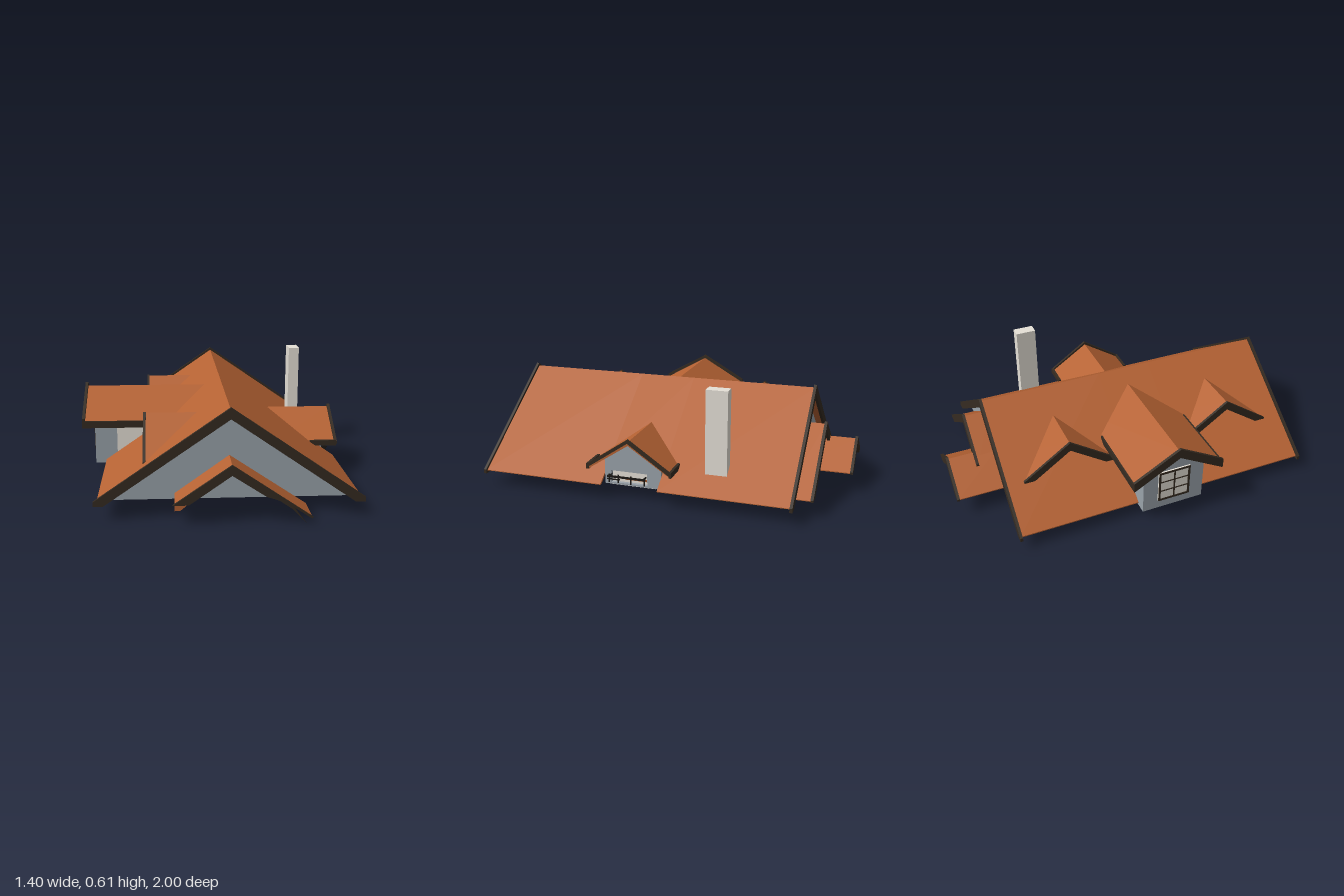
import * as THREE from 'three';

const material = (name, color) => {
  const m = new THREE.MeshStandardMaterial({ color, side: THREE.DoubleSide });
  m.name = name;
  return m;
};

export function createModel() {
  const house = new THREE.Group();
  house.name = 'roofStorey';
  const tile = material('terracotta tile', 0xb56233);
  const trim = material('dark trim', 0x352b21);
  const wall = material('blue grey wall', 0x9aa3ab);
  const cream = material('cream masonry', 0xe6e1d7);
  const iron = material('black iron', 0x1a1714);

  const box = (name, mat, [x0, x1], [y0, y1], [z0, z1], parent = house) => {
    const m = new THREE.Mesh(new THREE.BoxGeometry(x1 - x0, y1 - y0, z1 - z0), mat);
    m.position.set((x0 + x1) / 2, (y0 + y1) / 2, (z0 + z1) / 2);
    m.name = name;
    parent.add(m);
  };

  // Extrude an outline between two depths; axis 'x' reads outline as (z, y)
  const prism = (name, mat, points, from, to, axis = 'z', hole) => {
    const shape = new THREE.Shape(points.map(([u, y]) => new THREE.Vector2(u, y)));
    if (hole) shape.holes.push(new THREE.Path(hole.map(([u, y]) => new THREE.Vector2(u, y))));
    const m = new THREE.Mesh(
      new THREE.ExtrudeGeometry(shape, { depth: to - from, bevelEnabled: false }), mat);
    if (axis === 'x') {
      m.rotation.y = -Math.PI / 2;
      m.position.x = to;
    } else m.position.z = from;
    m.name = name;
    house.add(m);
  };

  // Inverted V outline with plumb eaves, trimmed level at height cut
  const chevron = (c, top, left, right, slope, t, cut = 0) => {
    const arm = (half, s) => {
      const y = top - half * slope, u = c + s * half;
      if (y - t >= cut) return [[u, y], [u, y - t]];
      return [[u, Math.max(y, cut + 0.001)], [u, cut], [u - s * (cut - y + t) / slope, cut]];
    };
    return [[c, top], ...arm(right, 1), [c, top - t], ...arm(left, -1).reverse()];
  };

  // Gable wall under a roof
  const gable = (c, top, l, r, slope, base) => [
    [l, base], [r, base], [r, top - (r - c) * slope], [c, top], [l, top - (c - l) * slope]];

  const S = 0.69;

  // Main roof in three lengths; the middle one stops short over the balcony
  for (const [z0, z1, right] of [[-0.76, -0.075, 0.635], [-0.075, 0.235, 0.47], [0.235, 0.91, 0.635]])
    prism('mainRoof', tile, chevron(0.05, 0.525, 0.632, right, S, 0.015, 0.083), z0, z1);
  for (const [n, z] of [['frontVerge', 0.903], ['backVerge', -0.768]])
    prism(n, trim, chevron(0.05, 0.54, 0.648, 0.648, S, 0.055, 0.07), z, z + 0.015);

  // End walls, cream on the inside of the front one
  prism('frontGableWall', wall, gable(0.05, 0.509, -0.52, 0.63, S, 0.07), 0.81, 0.83);
  prism('frontWallLining', cream, gable(0.05, 0.508, -0.515, 0.625, S, 0.072), 0.802, 0.81);
  prism('backGableWall', wall, gable(0.05, 0.509, -0.52, 0.63, S, 0.07), -0.71, -0.68);

  // Knee walls set back under the slopes
  for (const z of [[-0.68, -0.04], [0.21, 0.802]])
    box('rightKneeWall', cream, [0.375, 0.395], [0.07, 0.27], z);
  for (const z of [[-0.68, -0.10], [0.25, 0.802]])
    box('leftKneeWall', cream, [-0.32, -0.30], [0.07, 0.255], z);

  // Floor around the balcony well, with exposed patches on the underside
  box('floor', tile, [-0.30, 0.24], [0.075, 0.085], [-0.69, 0.802]);
  for (const z of [[-0.69, -0.04], [0.21, 0.802]])
    box('floor', tile, [0.24, 0.375], [0.075, 0.085], z);
  box('dormerFloor', tile, [-0.62, -0.30], [0.075, 0.085], [-0.08, 0.23]);
  for (const [x, z] of [
    [[0.05, 0.36], [0.25, 0.78]], [[-0.14, 0.28], [-0.60, -0.26]], [[-0.2, 0.08], [0.04, 0.25]]])
    box('floorPatch', cream, x, [0.07, 0.075], z);

  // Front porch roof, with a ragged board at its right end
  prism('porchRoof', tile, [
    [0.05, 0.287], [0.425, 0.034], [0.425, 0.028], [0.05, 0.275],
    [-0.19, 0.07], [-0.215, 0.07], [-0.215, 0.098]], 0.83, 0.99);
  prism('porchVerge', trim, [
    [0.05, 0.29], [0.432, 0.03], [0.425, 0.024], [0.34, 0.08], [0.40, 0.0], [0.31, 0.098],
    [0.35, 0.06], [0.27, 0.115], [0.21, 0.135], [0.05, 0.24],
    [-0.15, 0.10], [-0.225, 0.10]], 0.988, 1.0);

  // Stepped gables at the back; the bay verge dies onto the porch roof
  prism('backBayRoof', tile, chevron(0.17, 0.365, 0.25, 0.40, S, 0.015, 0.085), -0.84, -0.70);
  prism('backBayVerge', trim, [
    [0.17, 0.378], [0.58, 0.095], [0.58, 0.085], [0.515, 0.085], [0.17, 0.323],
    [0.02, 0.22], [-0.01, 0.238], [-0.08, 0.193], [-0.08, 0.206]], -0.85, -0.835);
  prism('backBayWall', wall, gable(0.17, 0.349, -0.06, 0.52, S, 0.07), -0.80, -0.77);
  prism('backPorchRoof', tile, chevron(-0.01, 0.24, 0.20, 0.20, 0.65, 0.015, 0.105), -0.99, -0.70);
  prism('backPorchVerge', trim, chevron(-0.01, 0.252, 0.208, 0.208, 0.65, 0.05, 0.105), -1.0, -0.985);
  prism('backPorchWall', wall, gable(-0.01, 0.224, -0.16, 0.14, 0.65, 0.07), -0.80, -0.775);

  // Large left dormer
  prism('largeDormerRoof', tile, chevron(0.075, 0.468, 0.25, 0.25, 0.57, 0.02), -0.69, -0.03, 'x');
  prism('largeDormerVerge', trim, chevron(0.075, 0.488, 0.257, 0.257, 0.57, 0.055, 0.29), -0.70, -0.685, 'x');
  for (const [z0, z1] of [[-0.182, -0.167], [0.317, 0.332]])
    box('largeDormerEave', trim, [-0.69, -0.25], [0.29, 0.327], [z0, z1]);
  prism('largeDormerWall', wall, gable(0.075, 0.45, -0.10, 0.25, 0.57, 0.07), -0.64, -0.62, 'x');
  for (const [z0, z1] of [[-0.10, -0.08], [0.23, 0.25]]) {
    box('dormerCorner', wall, [-0.62, -0.52], [0.07, 0.345], [z0, z1]);
    box('dormerCheek', cream, [-0.52, -0.25], [0.07, 0.31], [z0, z1]);
  }

  // Dormer window: pale panel with a frame and bars
  const win = new THREE.Group();
  win.name = 'dormerWindow';
  house.add(win);
  box('panes', cream, [-0.648, -0.64], [0.124, 0.316], [-0.016, 0.166], win);
  for (let i = 0; i < 3; i++) {
    const t = i === 1 ? 0.004 : 0.006, z = -0.01 + i * 0.085;
    box('uprightBar', trim, [-0.651, -0.648], [0.124, 0.316], [z - t, z + t], win);
  }
  for (let i = 0; i < 4; i++) {
    const t = i % 3 ? 0.003 : 0.006, y = 0.13 + i * 0.06;
    box('crossBar', trim, [-0.651, -0.648], [y - t, y + t], [-0.01, 0.16], win);
  }

  // Two small gablets on the left slope
  for (const z of [-0.40, 0.54]) {
    prism('gabletRoof', tile, chevron(z, 0.425, 0.26, 0.26, 0.7, 0.015), -0.36, -0.09, 'x');
    prism('gabletVerge', trim, chevron(z, 0.43, 0.262, 0.262, 0.7, 0.05), -0.366, -0.352, 'x');
  }

  // Right dormer
  prism('rightDormerRoof', tile, chevron(0.08, 0.332, 0.222, 0.222, 0.66, 0.02), 0.33, 0.68, 'x');
  prism('rightDormerVerge', trim, chevron(0.08, 0.347, 0.23, 0.23, 0.68, 0.02), 0.675, 0.69, 'x');
  for (const [z0, z1] of [[-0.152, -0.138], [0.298, 0.312]])
    box('rightDormerEave', trim, [0.54, 0.685], [0.165, 0.195], [z0, z1]);
  prism('rightDormerWall', wall, gable(0.08, 0.31, -0.075, 0.235, 0.66, 0.07), 0.60, 0.62, 'x',
    [[0, 0.08], [0.2, 0.08], [0.2, 0.145], [0, 0.145]]);
  for (const [z0, z1] of [[-0.075, -0.06], [0.22, 0.235]])
    box('rightDormerCheek', wall, [0.395, 0.60], [0.07, 0.205], [z0, z1]);

  // Balcony well, open below, and its railing
  for (const x of [[0.24, 0.25], [0.59, 0.60]])
    box('balconyWellEnd', cream, x, [0.06, 0.15], [-0.04, 0.21]);
  for (const z of [[-0.04, -0.03], [0.20, 0.21]])
    box('balconyWellSide', cream, [0.25, 0.59], [0.06, 0.15], z);
  box('balconyWellTop', cream, [0.25, 0.59], [0.14, 0.15], [-0.03, 0.20]);
  box('balconySill', tile, [0.62, 0.63], [0.106, 0.115], [0.0, 0.12]);
  box('balconyRail', iron, [0.645, 0.652], [0.118, 0.128], [0.0, 0.21]);
  box('balconyLowerRail', iron, [0.645, 0.652], [0.106, 0.111], [0.14, 0.21]);
  for (const z of [0.005, 0.08, 0.15, 0.2])
    box('railPost', iron, [0.645, 0.651], [0.09, 0.135], [z - 0.003, z + 0.003]);
  for (const z of [0.01, 0.2])
    box('railStay', iron, [0.61, 0.66], [0.121, 0.127], [z - 0.003, z + 0.003]);

  // Chimney
  box('chimney', cream, [0.51, 0.572], [0.08, 0.61], [-0.41, -0.295]);

  return house;
}
